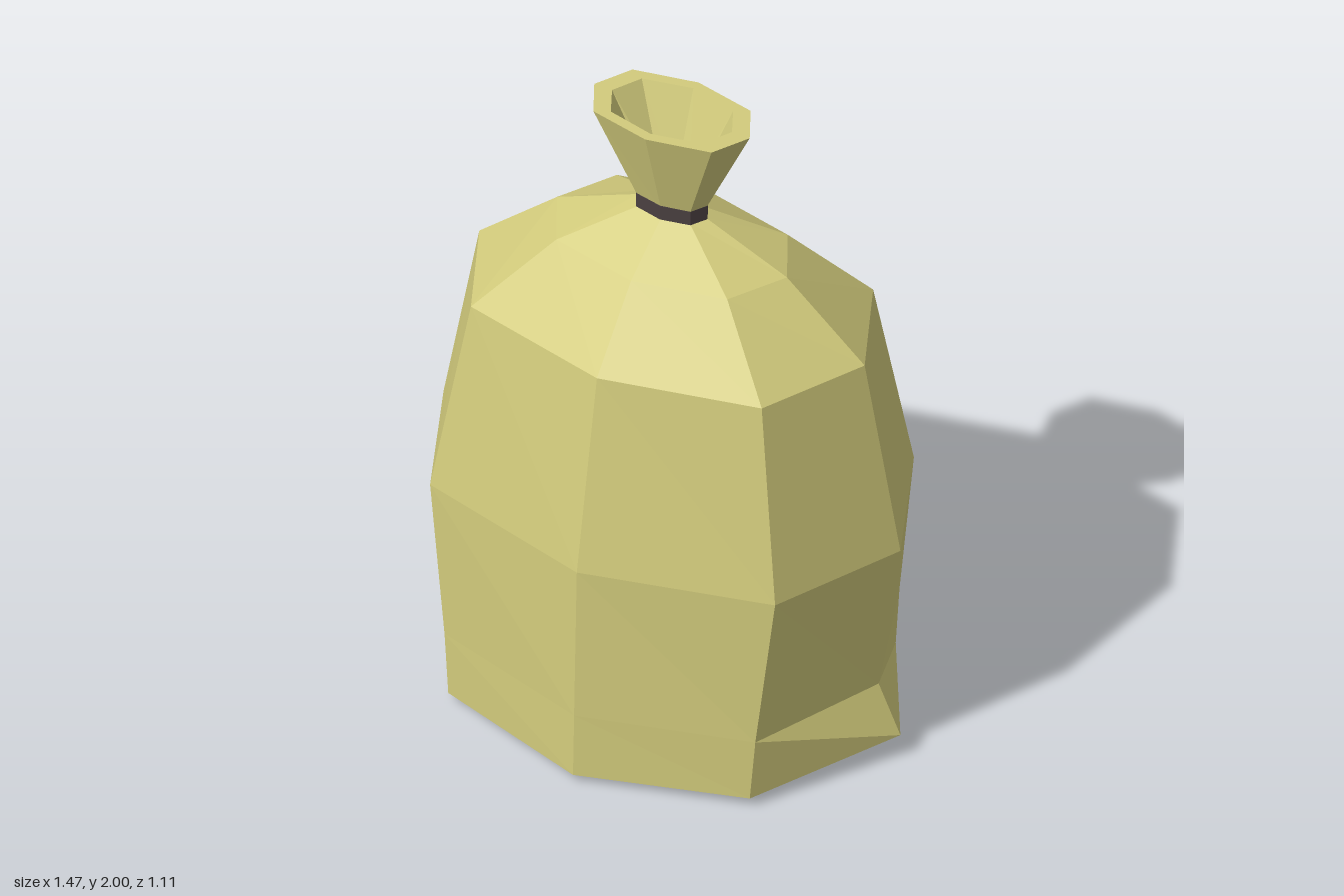
import * as THREE from 'three';

// Eight-sided ring: side vertex, corner vertices and front vertex, each with its own height.
function ring(sideX, cornerX, cornerZ, frontZ, ySide, yCorner = ySide, yFront = ySide) {
  return [
    [sideX, ySide, 0], [cornerX, yCorner, cornerZ], [0, yFront, frontZ], [-cornerX, yCorner, cornerZ],
    [-sideX, ySide, 0], [-cornerX, yCorner, -cornerZ], [0, yFront, -frontZ], [cornerX, yCorner, -cornerZ],
  ];
}

const point = (y) => ring(0, 0, 0, 0, y);

// Joins successive rings with faces; a ring of zero size closes an end.
function loft(rings, material, name) {
  const pos = [];
  const isPoint = (r) => r[0][0] === 0;
  for (let k = 0; k < rings.length - 1; k++) {
    const a = rings[k], b = rings[k + 1];
    for (let i = 0; i < 8; i++) {
      const j = (i + 1) % 8;
      if (!isPoint(b)) pos.push(...a[i], ...b[i], ...b[j]);
      if (!isPoint(a)) pos.push(...a[i], ...b[j], ...a[j]);
    }
  }
  const geometry = new THREE.BufferGeometry();
  geometry.setAttribute('position', new THREE.Float32BufferAttribute(pos, 3));
  geometry.computeVertexNormals();
  const mesh = new THREE.Mesh(geometry, material);
  mesh.name = name;
  return mesh;
}

export function createModel() {
  const burlap = new THREE.MeshStandardMaterial({ name: 'burlap', color: 0xd2cb7c, flatShading: true });
  const cord = new THREE.MeshStandardMaterial({ name: 'darkCord', color: 0x4a4041, flatShading: true });

  const group = new THREE.Group();
  group.name = 'tiedSack';

  // Filled body, from the flat base up to the gathered neck
  group.add(loft([
    point(0.005),
    ring(0.49, 0.35, 0.31, 0.44, 0.005),
    ring(0.735, 0.485, 0.41, 0.556, 0.08, 0.035, 0.03),
    ring(0.665, 0.5, 0.405, 0.55, 0.235),
    ring(0.735, 0.555, 0.39, 0.535, 0.73),
    ring(0.62, 0.468, 0.313, 0.422, 1.34),
    ring(0.37, 0.275, 0.17, 0.23, 1.555),
    ring(0.11, 0.08, 0.042, 0.06, 1.665),
    point(1.67),
  ], burlap, 'sackBody'));

  // Cord tied round the neck
  group.add(loft([
    point(1.663),
    ring(0.115, 0.087, 0.049, 0.068, 1.663),
    ring(0.115, 0.087, 0.049, 0.068, 1.71),
    point(1.71),
  ], cord, 'neckTie'));

  // Flared mouth with a thick rim and a hollow inside
  group.add(loft([
    ring(0.105, 0.08, 0.044, 0.06, 1.69),
    ring(0.25, 0.19, 0.11, 0.15, 2),
    ring(0.193, 0.147, 0.087, 0.12, 2),
    ring(0.065, 0.045, 0.016, 0.022, 1.74),
    point(1.74),
  ], burlap, 'sackMouth'));

  return group;
}
